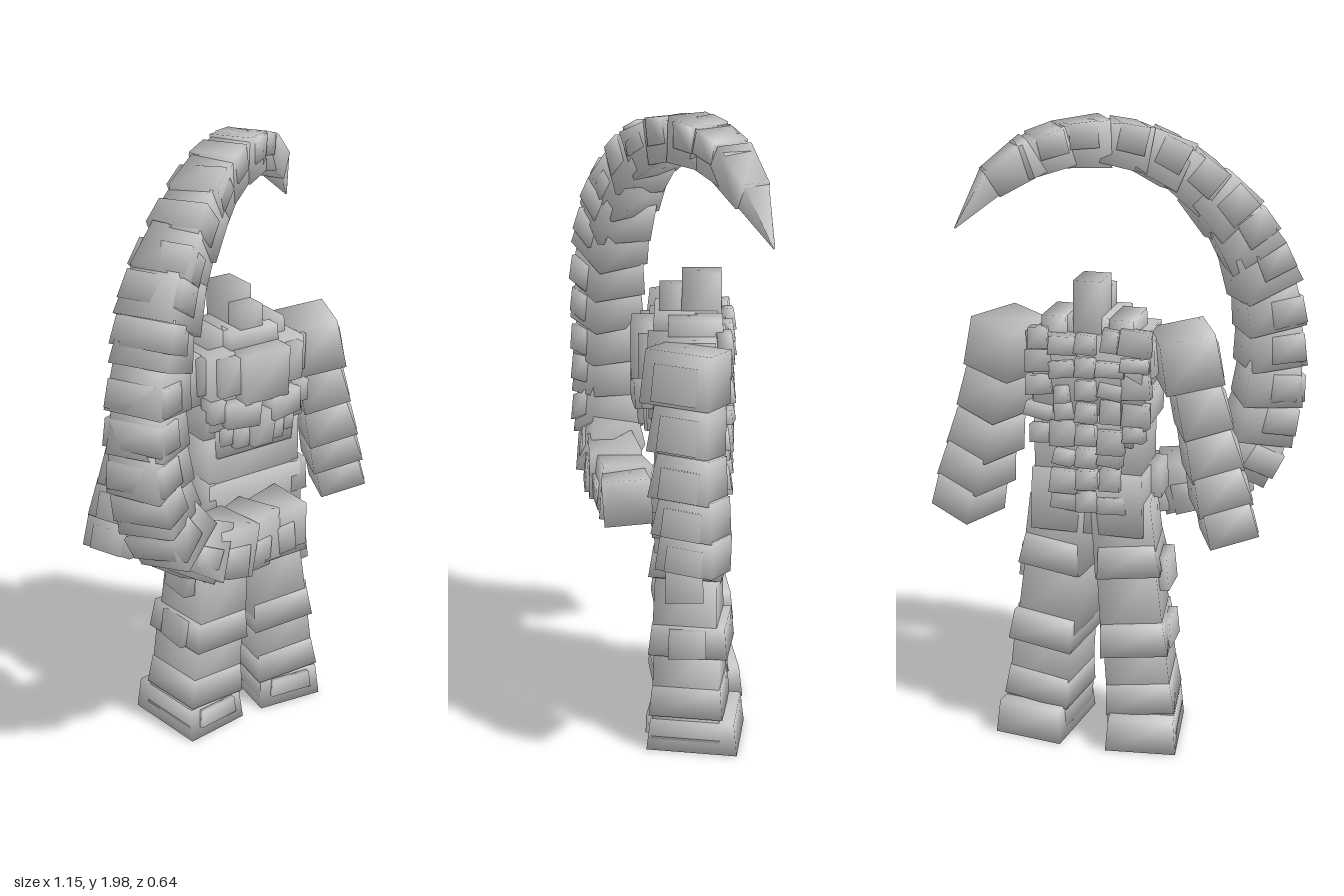
import * as THREE from 'three';
import { mergeVertices } from 'three/addons/utils/BufferGeometryUtils.js';

const CX = 0.04; // the body's own mirror plane

export function createModel() {
  const model = new THREE.Group();
  model.name = 'tentacledFigure';
  const stone = new THREE.MeshStandardMaterial({ color: 0xc4c4c4 });
  stone.name = 'stoneGrey';

  let seed = 7;
  const wobble = (a) => {
    seed = (seed * 16807) % 2147483647;
    return (seed / 2147483647 - 0.5) * 2 * a;
  };

  // Soft-shaded box whose top is scaled by `top`
  function blockGeometry(w, h, d, top = 1) {
    const box = new THREE.BoxGeometry(w, h, d);
    box.deleteAttribute('normal');
    box.deleteAttribute('uv');
    const geo = mergeVertices(box);
    const p = geo.attributes.position;
    for (let i = 0; i < p.count; i++) {
      if (p.getY(i) > 0) p.setXYZ(i, p.getX(i) * top, p.getY(i), p.getZ(i) * top);
    }
    geo.computeVertexNormals();
    return geo;
  }

  function block(parent, name, size, pos, top = 1, rot = [0, 0, 0]) {
    const mesh = new THREE.Mesh(blockGeometry(...size, top), stone);
    mesh.name = name;
    mesh.position.set(...pos);
    mesh.rotation.set(rot[0], rot[1], rot[2], 'YZX');
    parent.add(mesh);
    return mesh;
  }

  function group(name) {
    const g = new THREE.Group();
    g.name = name;
    model.add(g);
    return g;
  }

  // Torso, chest and head
  const torso = group('torso');
  block(torso, 'pelvis', [0.36, 0.2, 0.22], [CX + 0.005, 0.82, -0.08], 0.97);
  block(torso, 'abdomen', [0.34, 0.22, 0.19], [CX + 0.005, 0.98, -0.075]);
  block(torso, 'waist', [0.28, 0.12, 0.21], [CX, 1.07, -0.075], 1.05);
  block(torso, 'ribCage', [0.34, 0.25, 0.23], [CX, 1.235, -0.075], 1.02);
  block(torso, 'chestPlate', [0.16, 0.16, 0.1], [CX, 1.28, 0.045], 1.05);
  block(torso, 'sternum', [0.07, 0.12, 0.07], [CX, 1.1, 0.04], 1.3);
  block(torso, 'collar', [0.18, 0.08, 0.2], [CX, 1.37, -0.07], 0.95);
  block(torso, 'neck', [0.08, 0.12, 0.1], [CX, 1.42, -0.04]);
  block(torso, 'head', [0.085, 0.17, 0.12], [CX + 0.002, 1.437, -0.118]);

  for (const s of [-1, 1]) {
    block(torso, 'pectoral', [0.11, 0.08, 0.08], [CX + s * 0.075, 1.165, 0.05], 1.05, [0, s * 0.15, s * 0.05]);
    block(torso, 'upperChest', [0.07, 0.12, 0.07], [CX + s * 0.115, 1.29, 0.035], 1.05);
    block(torso, 'sideChest', [0.05, 0.07, 0.06], [CX + s * 0.155, 1.18, 0.03], 1.05);
    block(torso, 'sideRib', [0.045, 0.1, 0.16], [CX + s * 0.165, 1.13, -0.06], 1.1);
    block(torso, 'upperRib', [0.05, 0.12, 0.17], [CX + s * 0.175, 1.29, -0.07], 1.05);
    block(torso, 'trapezius', [0.08, 0.1, 0.17], [CX + s * 0.105, 1.36, -0.1], 0.95);
    block(torso, 'belly', [0.05, 0.07, 0.06], [CX + s * 0.065, 1.075, 0.025], 1.1);
    block(torso, 'sideBelly', [0.04, 0.06, 0.06], [CX + s * 0.115, 1.085, 0.015], 1.1);
    block(torso, 'hipPlate', [0.06, 0.11, 0.1], [CX + s * 0.175, 0.87, -0.02], 0.9);
  }

  // Spine and uneven small plates on the back
  const back = group('backPlates');
  for (let row = 0; row < 8; row++) {
    const y = 0.83 + row * 0.072;
    block(back, 'vertebra', [0.065, 0.06, 0.06], [CX, y, -0.19], 0.9, [0.1, 0, wobble(0.08)]);
    const columns = row < 3 ? 1 : 2;
    for (const s of [-1, 1]) {
      for (let c = 1; c <= columns; c++) {
        block(back, 'backPlate', [0.07 + wobble(0.025), 0.06 + wobble(0.02), 0.05],
          [CX + s * c * 0.075, y + wobble(0.02), -0.182 + wobble(0.015)], 0.92, [0.1, wobble(0.15), wobble(0.15)]);
      }
    }
  }

  // Arms: [across, y, z, width, height, depth, top scale, tilt]
  const armParts = [
    ['shoulder', 0.278, 1.285, -0.075, 0.18, 0.16, 0.215, 0.94, 0.17],
    ['upperArm', 0.32, 1.14, -0.08, 0.155, 0.15, 0.19, 0.9, 0.24],
    ['elbow', 0.355, 1.0, -0.085, 0.165, 0.13, 0.19, 0.86, 0.24],
    ['forearm', 0.385, 0.89, -0.095, 0.17, 0.12, 0.19, 0.86, 0.24],
    ['hand', 0.415, 0.785, -0.1, 0.155, 0.11, 0.18, 0.94, 0.24],
  ];
  // Legs: same layout
  const legParts = [
    ['thigh', 0.1, 0.7, -0.085, 0.2, 0.24, 0.2, 0.93, 0.09],
    ['thighBand', 0.113, 0.635, -0.085, 0.2, 0.1, 0.23, 0.88, 0.09],
    ['lowerThigh', 0.118, 0.5, -0.085, 0.2, 0.25, 0.205, 0.92, 0.09],
    ['kneeBand', 0.135, 0.375, -0.095, 0.215, 0.1, 0.25, 0.92, 0.09],
    ['shin', 0.145, 0.27, -0.09, 0.205, 0.22, 0.215, 0.95, 0.09],
    ['ankleBand', 0.155, 0.17, -0.09, 0.22, 0.1, 0.235, 0.92, 0.09],
    ['ankle', 0.16, 0.1, -0.09, 0.22, 0.12, 0.22, 0.95, 0.09],
    ['foot', 0.168, 0.064, -0.11, 0.225, 0.108, 0.29, 0.92, 0],
  ];
  for (const s of [-1, 1]) {
    const side = s > 0 ? 'left' : 'right';
    const arm = group(side + 'Arm');
    for (const [name, x, y, z, w, h, d, top, tilt] of armParts) {
      const rot = [0, -s * 0.4, s * tilt];
      block(arm, name, [w, h, d], [CX + s * x, y, z], top, rot);
      // overlapping outer plate
      block(arm, name + 'Plate', [0.03, h * 0.7, d * 0.65], [CX + s * (x + w * 0.42), y, z + w * 0.18], 0.95, rot);
    }
    const leg = group(side + 'Leg');
    for (const [name, x, y, z, w, h, d, top, tilt] of legParts) {
      block(leg, name, [w, h, d], [CX + s * x, y, z], top, [0, -s * 0.13, s * tilt]);
    }
    block(leg, 'outerThighPad', [0.04, 0.11, 0.12], [CX + s * 0.222, 0.58, -0.07], 0.95, [0, 0, s * 0.09]);
    block(leg, 'outerKneePad', [0.04, 0.09, 0.12], [CX + s * 0.235, 0.38, -0.08], 0.95, [0, 0, s * 0.09]);
    block(leg, 'toePlate', [0.15, 0.06, 0.02], [CX + s * 0.15, 0.08, 0.032], 0.9, [0, -s * 0.13, 0]);
  }

  // Tentacle: segmented, curling from the pelvis up over the head
  const tentacle = group('tentacle');
  const path = new THREE.CatmullRomCurve3([
    [0.11, 0.79, 0.11], [-0.02, 0.785, 0.125], [-0.17, 0.795, 0.165], [-0.31, 0.84, 0.185], [-0.395, 0.94, 0.19],
    [-0.44, 1.1, 0.19], [-0.445, 1.28, 0.19], [-0.415, 1.48, 0.175], [-0.335, 1.66, 0.13], [-0.2, 1.815, 0.06],
    [-0.06, 1.9, -0.025], [0.08, 1.92, -0.11], [0.2, 1.89, -0.19], [0.3, 1.82, -0.25], [0.4, 1.69, -0.315],
  ].map((p) => new THREE.Vector3(...p)));
  const planeNormal = new THREE.Vector3(0.5, 0, 0.87);
  const length = path.getLength();
  const COUNT = 17;

  function alongPath(mesh, u, twist) {
    const up = path.getTangentAt(u);
    const across = new THREE.Vector3().crossVectors(up, planeNormal).normalize();
    const out = new THREE.Vector3().crossVectors(across, up);
    mesh.quaternion.setFromRotationMatrix(new THREE.Matrix4().makeBasis(across, up, out));
    mesh.rotateY(twist);
    mesh.position.copy(path.getPointAt(u));
  }

  const step = 0.88 / COUNT;
  for (let i = 0; i < COUNT; i++) {
    const u = (i + 0.5) * step;
    const size = u < 0.2 ? 0.15 + u * 0.17 : u < 0.55 ? 0.184 : 0.184 - (u - 0.55) * 0.21;
    const seg = block(tentacle, 'tentacleSegment', [size + wobble(0.008), length * step * 1.2, size], [0, 0, 0], 0.86);
    alongPath(seg, u, wobble(0.1));
    // small raised plate on the outside of the curl
    const plate = block(tentacle, 'tentaclePlate', [size * 0.6, length * step * 0.7, size * 1.06], [0, 0, 0], 0.93);
    alongPath(plate, u + wobble(0.01), wobble(0.1));
    plate.translateX(-size * 0.2);
  }
  // pointed tip, bending with the path
  for (const [u0, u1, base, top] of [[0.865, 0.93, 0.112, 0.76], [0.92, 1, 0.085, 0.04]]) {
    const tip = block(tentacle, 'tentacleTip', [base, length * (u1 - u0), base], [0, 0, 0], top);
    alongPath(tip, (u0 + u1) / 2, 0);
  }
  return model;
}
